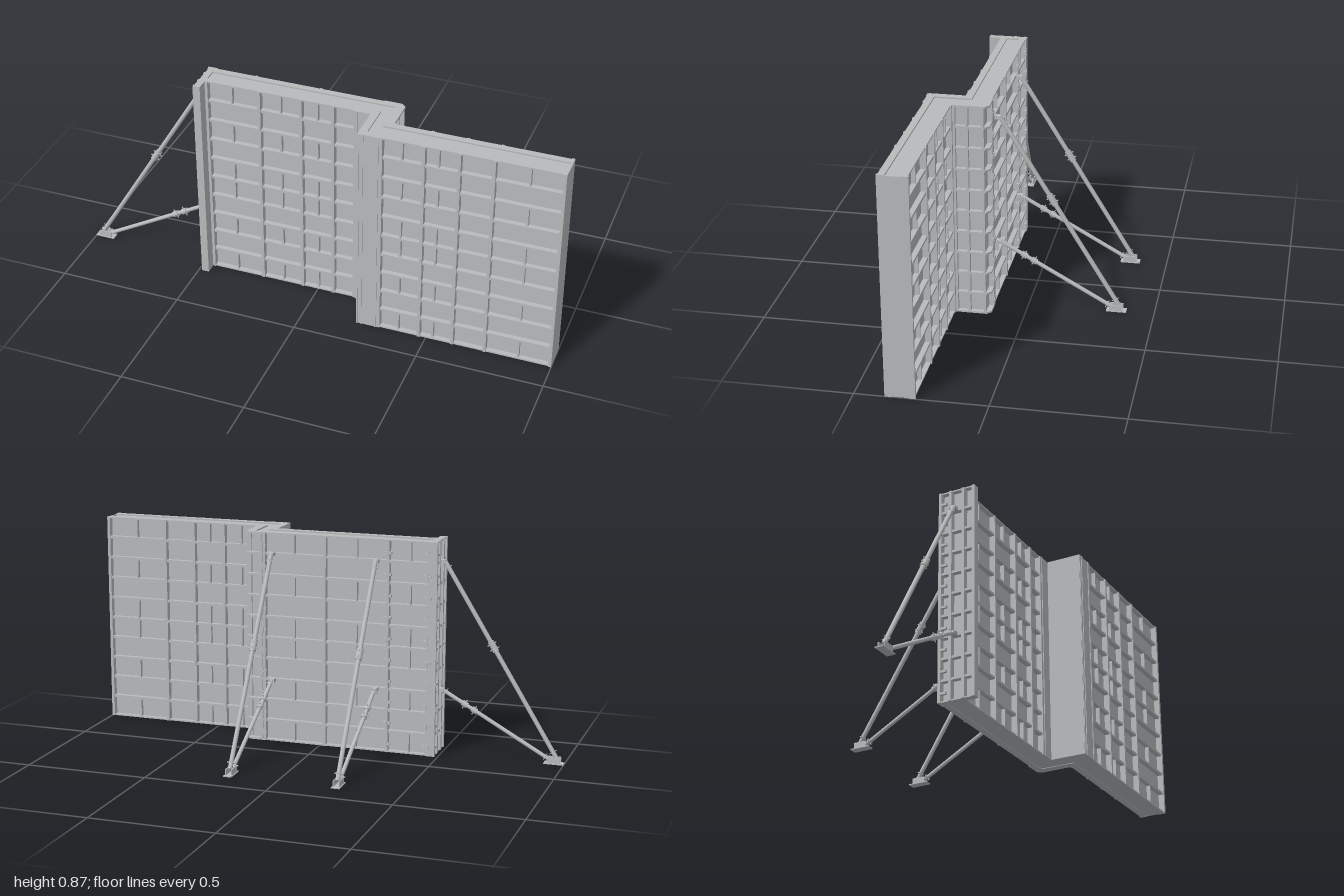
import * as THREE from 'three';

const H = 0.873, ROW = H / 10, DEPTH = 0.03;

export function createModel() {
  const model = new THREE.Group();
  model.name = 'wallFormwork';
  const steel = new THREE.MeshStandardMaterial({ color: 0xb8babc });
  steel.name = 'galvanised grey';

  const add = (parent, name, geo, x = 0, y = 0, z = 0) => {
    const m = new THREE.Mesh(geo, steel);
    m.name = name;
    m.position.set(x, y, z);
    parent.add(m);
    return m;
  };
  const box = (parent, name, w, h, d, x, y, z) =>
    add(parent, name, new THREE.BoxGeometry(w, h, d), x, y, z);

  // Upright prism from plan points [x, z]
  const slab = (parent, name, pts, y, h) => {
    const shape = new THREE.Shape(pts.map(([x, z]) => new THREE.Vector2(x, -z)));
    const geo = new THREE.ExtrudeGeometry(shape, { depth: h, bevelEnabled: false });
    geo.rotateX(-Math.PI / 2);
    return add(parent, name, geo, 0, y, 0);
  };

  // Rod between two points in a group's xy plane
  const rod = (parent, name, a, b, r) => {
    const p = new THREE.Vector3(...a), q = new THREE.Vector3(...b);
    const m = add(parent, name, new THREE.CylinderGeometry(r, r, p.distanceTo(q), 16));
    m.position.copy(p).add(q).multiplyScalar(0.5);
    m.quaternion.setFromUnitVectors(new THREE.Vector3(0, 1, 0), q.sub(p).normalize());
    return m;
  };

  // Framed panel run: local x along the wall, local z outwards
  const ribBays = [0, 2, 4, 5, 7, 9];
  const panelRun = (name, x, z, angle, frames, stiffeners) => {
    const g = new THREE.Group();
    g.name = name;
    g.position.set(x, 0, z);
    g.rotation.y = angle;
    const a = Math.min(...frames), b = Math.max(...frames), mid = (a + b) / 2;
    box(g, 'sheet', b - a, H, 0.006, mid, H / 2, 0.003);
    for (let i = 0; i <= 10; i++) {
      const t = i === 0 || i === 10 ? 0.006 : 0.01;
      const y = Math.min(Math.max(i * ROW, t / 2), H - t / 2);
      box(g, 'crossRib', b - a, t, DEPTH - 0.004, mid, y, DEPTH / 2 - 0.002);
    }
    for (const u of frames) {
      const c = Math.min(Math.max(u, a + 0.006), b - 0.006);
      box(g, 'frameUpright', 0.012, H, DEPTH, c, H / 2, DEPTH / 2);
    }
    for (const u of stiffeners) for (const i of ribBays)
      box(g, 'stiffener', 0.007, ROW, DEPTH - 0.008, u, (i + 0.5) * ROW, DEPTH / 2 - 0.004);
    model.add(g);
    return g;
  };

  // Stepped wall core and stop end
  slab(model, 'wallCore', [[-0.458, 0.16], [0.29, 0.16], [0.29, 0.3], [0.997, 0.3],
    [0.997, 0.355], [0.245, 0.355], [0.245, 0.21], [-0.458, 0.21]], 0.002, H - 0.008);
  box(model, 'stopEnd', 0.006, H - 0.004, 0.113, 0.997, H / 2, 0.3285);

  // Front and rear panel runs
  panelRun('frontLeftPanels', 0, 0.21, 0,
    [-0.458, -0.235, -0.065, 0.065, 0.16], [-0.35, -0.15, 0]);
  panelRun('frontRightPanels', 0, 0.355, 0,
    [0.3, 0.47, 0.605, 0.735, 1], [0.385, 0.525, 0.867]);
  const rear = panelRun('rearLeftPanels', 0, 0.16, Math.PI,
    [0.46, 0.285, 0.02, -0.245], [0.375, 0.152, -0.112]);
  panelRun('rearRightPanels', 0, 0.3, Math.PI,
    [-0.32, -0.47, -0.605, -0.735, -1], [-0.395, -0.537, -0.867]);
  const end = panelRun('endPanel', -0.457, 0, -Math.PI / 2,
    [0.13, 0.18, 0.235, 0.285], []);

  // Smooth corner on the front
  slab(model, 'frontCorner', [[0.16, 0.21], [0.16, 0.24], [0.215, 0.24], [0.215, 0.385],
    [0.3, 0.385], [0.3, 0.355], [0.245, 0.355], [0.245, 0.21]], 0, H);
  for (const [x, z] of [[0.163, 0.241], [0.22, 0.386], [0.236, 0.386], [0.295, 0.386]])
    box(model, 'cornerSeam', 0.006, H, 0.004, x, H / 2, z);

  // Ribbed corner on the rear
  slab(model, 'rearCornerSheet', [[0.245, 0.15], [0.29, 0.15], [0.303, 0.163], [0.303, 0.27],
    [0.32, 0.27], [0.32, 0.3], [0.285, 0.3], [0.285, 0.16], [0.245, 0.16]], 0, H);
  for (let i = 0; i <= 10; i++)
    slab(model, 'cornerRib', [[0.245, 0.13], [0.304, 0.13], [0.32, 0.146], [0.32, 0.28],
      [0.295, 0.28], [0.295, 0.158], [0.245, 0.158]],
    Math.min(Math.max(i * ROW - 0.004, 0), H - 0.008), 0.008);
  for (const z of [0.155, 0.216, 0.266])
    box(model, 'cornerUpright', 0.02, H, 0.01, 0.31, H / 2, z);
  box(model, 'cornerUpright', 0.01, H, 0.028, 0.252, H / 2, 0.144);

  // Clamps across the panel joints
  for (let i = 0; i < 10; i++) {
    const y = (i + 0.4) * ROW;
    for (const u of [-0.245, 0.285, 0.45]) {
      box(rear, 'clamp', 0.03, 0.01, 0.012, u, y, 0.027);
      box(rear, 'clampWedge', 0.007, 0.026, 0.01, u, y, 0.029);
    }
    box(end, 'clamp', 0.03, 0.01, 0.01, 0.15, y, 0.026);
  }

  // Push-pull prop: local x runs away from the wall
  const prop = (name, x, z, angle) => {
    const g = new THREE.Group();
    g.name = name;
    g.position.set(x, 0, z);
    g.rotation.y = angle;
    box(g, 'footPlate', 0.08, 0.004, 0.034, 0.478, 0.002, 0);
    for (const s of [-1, 1]) box(g, 'footCheek', 0.054, 0.024, 0.004, 0.477, 0.015, s * 0.012);
    const legs = [
      { top: 0.788, foot: [0.487, 0.024], collars: [0.42, 0.445], r: 0.009 },
      { top: 0.263, foot: [0.455, 0.018], collars: [0.21, 0.3], r: 0.008 },
    ];
    for (const { top, foot, collars, r } of legs) {
      const a = new THREE.Vector3(0.018, top, 0), b = new THREE.Vector3(...foot, 0);
      const dir = b.clone().sub(a).normalize();
      const at = t => a.clone().lerp(b, t);
      box(g, 'wallBracket', 0.024, 0.014, 0.022, 0.01, top, 0);
      rod(g, 'propTube', a.toArray(), b.toArray(), r);
      add(g, 'elbow', new THREE.SphereGeometry(r, 14, 10), 0.018, top, 0);
      // Threaded collars with turning handles
      for (const t of collars) {
        const p = at(t), n = new THREE.Vector3(-dir.y, dir.x, 0);
        rod(g, 'collar', p.clone().addScaledVector(dir, -0.012).toArray(),
          p.clone().addScaledVector(dir, 0.012).toArray(), r + 0.004);
        rod(g, 'handle', p.clone().addScaledVector(n, -0.02).toArray(),
          p.clone().addScaledVector(n, 0.02).toArray(), 0.0025);
        rod(g, 'crossHandle', [p.x, p.y, -0.018], [p.x, p.y, 0.018], 0.0025);
      }
      // End pins
      for (const t of [0.03, 0.97]) {
        const p = at(t), n = new THREE.Vector3(-dir.y, dir.x, 0);
        rod(g, 'pin', p.clone().addScaledVector(n, -0.016).toArray(),
          p.clone().addScaledVector(n, 0.016).toArray(), 0.0018);
        rod(g, 'pinBolt', [p.x, p.y, -0.016], [p.x, p.y, 0.016], 0.003);
      }
    }
    model.add(g);
  };
  prop('rearPropRight', -0.24, 0.128, Math.PI / 2);
  prop('rearPropLeft', 0.2, 0.128, Math.PI / 2);
  prop('endProp', -0.482, 0.2, Math.PI);

  return model;
}
